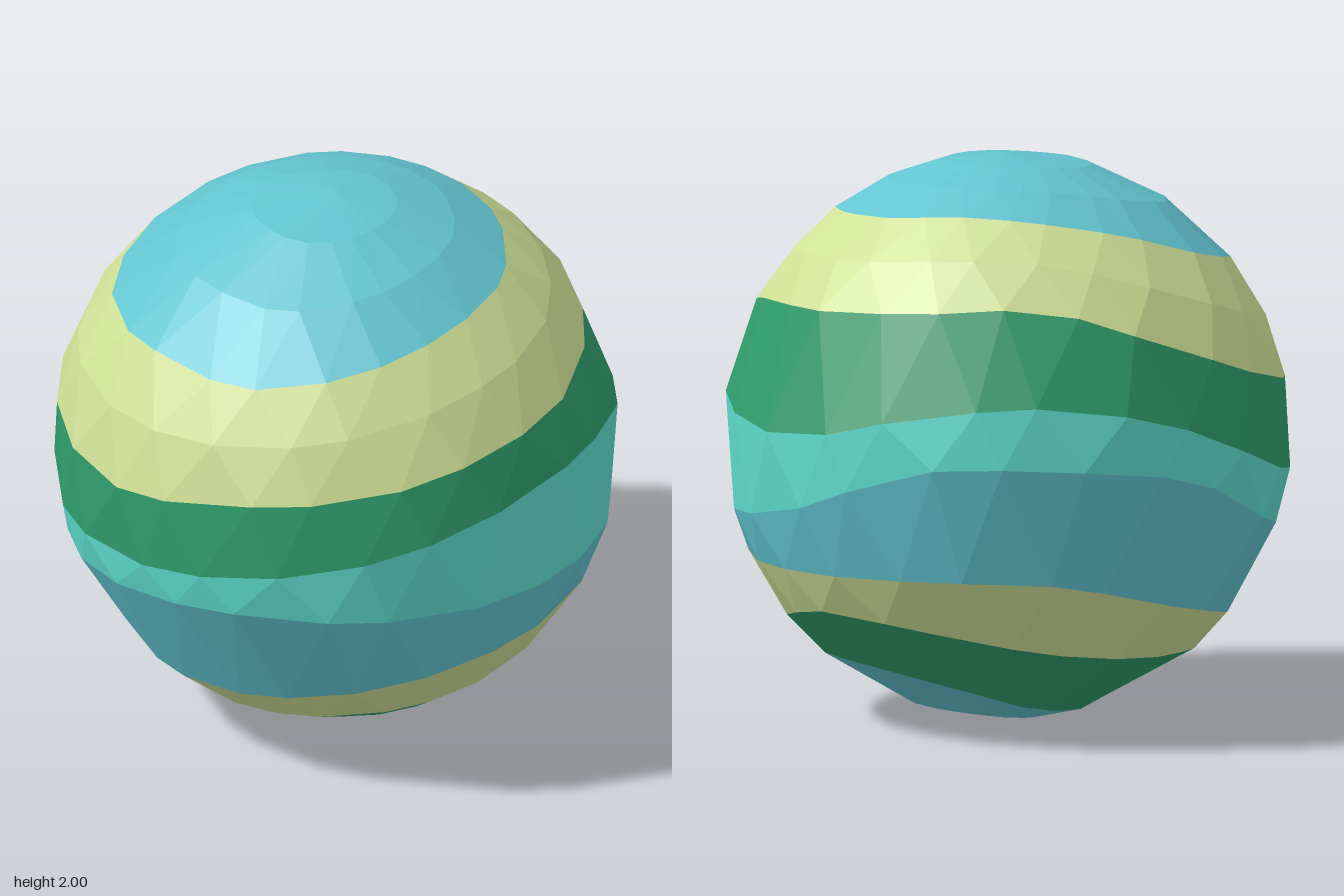
import * as THREE from 'three';

const SEGMENTS = 22;

// Band edge heights at every 30 degrees around, from the front (+z) towards +x
const EDGES = [
  [2, 2, 2, 2, 2, 2, 2, 2, 2, 2, 2, 2],
  [1.75, 1.78, 1.81, 1.83, 1.855, 1.84, 1.785, 1.68, 1.61, 1.625, 1.625, 1.69],
  [1.38, 1.43, 1.51, 1.53, 1.56, 1.57, 1.42, 1.26, 1.18, 1.16, 1.25, 1.31],
  [1.175, 1.21, 1.13, 1.1, 1.21, 1.25, 1.14, 0.94, 0.87, 0.89, 0.97, 1.07],
  [0.8, 0.78, 0.76, 0.84, 1.02, 1.03, 0.96, 0.75, 0.68, 0.75, 0.82, 0.82],
  [0.535, 0.57, 0.59, 0.605, 0.62, 0.61, 0.5, 0.41, 0.35, 0.32, 0.37, 0.45],
  [0.295, 0.34, 0.38, 0.46, 0.42, 0.34, 0.29, 0.27, 0.22, 0.19, 0.22, 0.255],
  [0.11, 0.2, 0.245, 0.255, 0.19, 0.09, 0.06, 0.04, 0.03, 0.03, 0.045, 0.07],
  [0, 0, 0, 0, 0, 0, 0, 0, 0, 0, 0, 0],
];

// Bands from top to bottom: name, colour, facet rows
const BANDS = [
  ['topCap', 'blue', 3],
  ['upperYellowBand', 'yellow', 2],
  ['upperGreenBand', 'green', 1],
  ['turquoiseBand', 'turquoise', 1],
  ['blueBand', 'blue', 1],
  ['lowerYellowBand', 'yellow', 1],
  ['lowerGreenBand', 'green', 1],
  ['bottomCap', 'blue', 2],
];

// Latitude of a band edge, interpolated smoothly around the closed loop
function latitude(edge, angle) {
  const t = angle / (Math.PI / 6) + 12;
  const i = Math.floor(t), f = t - i;
  const p = [-1, 0, 1, 2].map((k) => edge[(i + k + 12) % 12]);
  const y = p[1] + 0.5 * f * (p[2] - p[0] + f * (2 * p[0] - 5 * p[1] + 4 * p[2] - p[3]
    + f * (3 * (p[1] - p[2]) + p[3] - p[0])));
  return Math.asin(THREE.MathUtils.clamp(y - 1, -1, 1));
}

// One ring of points; odd rings are turned by half a step so facets interlock
function makeRing(upper, lower, f, row) {
  const ring = [];
  for (let s = 0; s < SEGMENTS; s++) {
    const wobble = 0.12 * Math.sin(s * 2.7 + row * 1.9);
    const a = ((s + (row % 2) * 0.5 + wobble) / SEGMENTS) * Math.PI * 2;
    const lat = THREE.MathUtils.lerp(latitude(upper, a), latitude(lower, a), f);
    const r = Math.cos(lat);
    ring.push(new THREE.Vector3(r * Math.sin(a), 1 + Math.sin(lat), r * Math.cos(a)));
  }
  return ring;
}

// Flat facets joining successive rings
function bandGeometry(rings, firstRow) {
  const points = [];
  const facet = (a, b, c) => {
    const e = 1e-6;
    if (a.distanceTo(b) > e && b.distanceTo(c) > e && c.distanceTo(a) > e) points.push(a, b, c);
  };
  for (let j = 0; j < rings.length - 1; j++) {
    const top = rings[j], low = rings[j + 1];
    for (let s = 0; s < SEGMENTS; s++) {
      const n = (s + 1) % SEGMENTS;
      if ((firstRow + j) % 2 === 0) {
        facet(top[s], low[s], top[n]);
        facet(top[n], low[s], low[n]);
      } else {
        facet(top[s], low[s], low[n]);
        facet(top[s], low[n], top[n]);
      }
    }
  }
  const geometry = new THREE.BufferGeometry().setFromPoints(points);
  geometry.computeVertexNormals();
  return geometry;
}

export function createModel() {
  const group = new THREE.Group();
  group.name = 'bandedPlanet';

  const colors = { blue: 0x62c4d0, yellow: 0xcfe096, green: 0x2f9d6b, turquoise: 0x5fdccf };
  const materials = {};
  for (const [name, color] of Object.entries(colors)) {
    materials[name] = new THREE.MeshStandardMaterial({ color });
    materials[name].name = name;
  }

  // Wavy bands stacked from pole to pole
  let row = 0;
  BANDS.forEach(([name, color, rows], b) => {
    const rings = [];
    for (let j = 0; j <= rows; j++) rings.push(makeRing(EDGES[b], EDGES[b + 1], j / rows, row + j));
    const mesh = new THREE.Mesh(bandGeometry(rings, row), materials[color]);
    mesh.name = name;
    group.add(mesh);
    row += rows;
  });
  return group;
}
